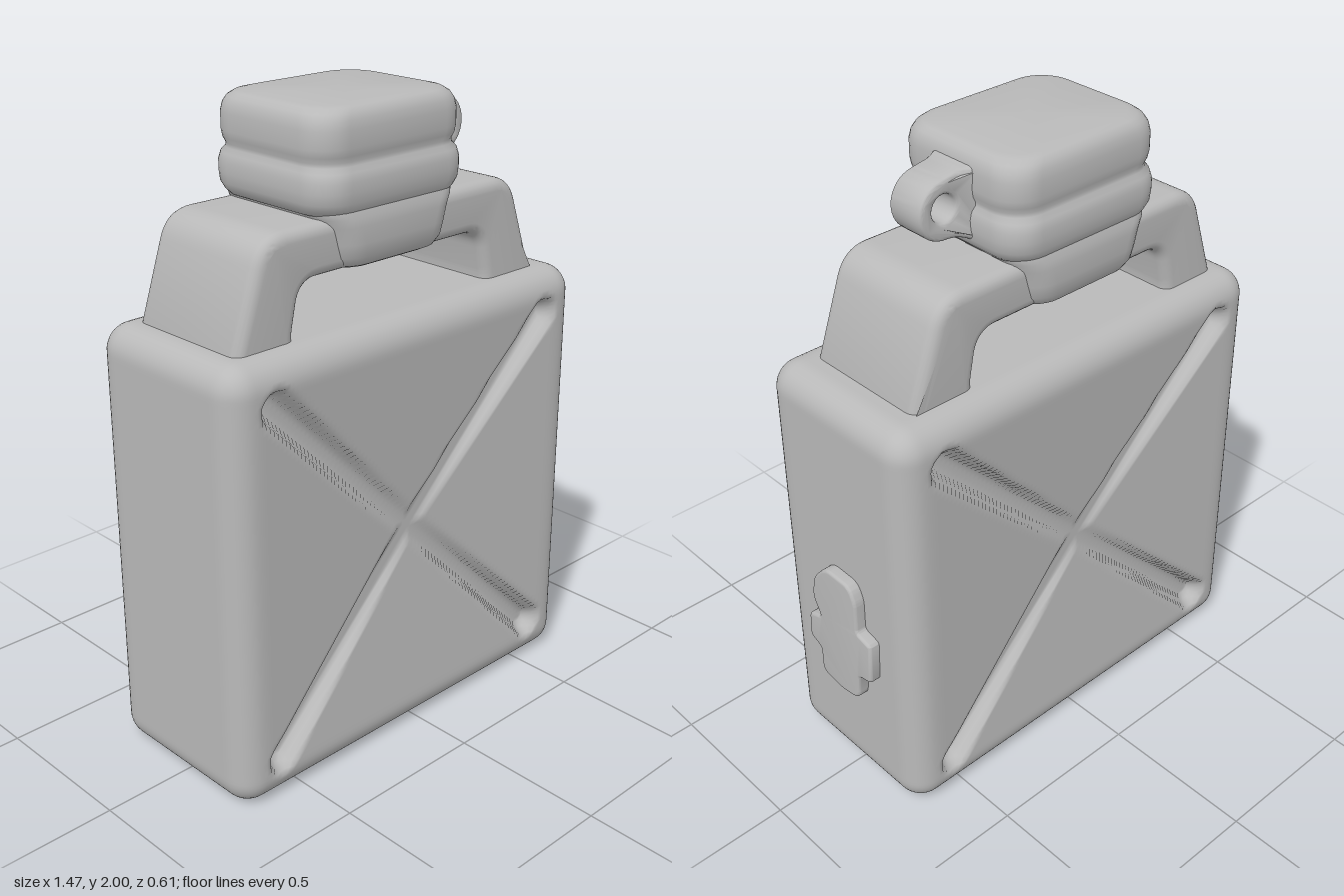
import * as THREE from 'three';
import { mergeVertices, toCreasedNormals } from 'three/addons/utils/BufferGeometryUtils.js';

const grey = new THREE.MeshStandardMaterial({ color: 0xb9b9b9 });
grey.name = 'grey';

const clamp = THREE.MathUtils.clamp;
const smooth = THREE.MathUtils.smoothstep;

function part(name, geometry) {
  const mesh = new THREE.Mesh(geometry, grey);
  mesh.name = name;
  return mesh;
}

// Depth of the stamped panel: four slopes falling to the middle, plus a flat-floored X groove
function panelDepth(x, y) {
  const ax = Math.abs(x), ay = Math.abs(y), d = Math.SQRT1_2;
  const slope = 0.048 * clamp(1 - Math.max(ax / 0.61, ay / 0.6), 0, 1);
  const along = Math.min((ax + ay) * d, 0.785);
  const away = Math.hypot(ax - along * d, ay - along * d);
  const groove = 0.054 * (1 - smooth(away, 0.024, 0.06));
  return Math.max(slope, groove);
}

// Rounded box with the X panel pressed into front and back
function bodyGeometry() {
  const half = new THREE.Vector3(0.715, 0.692, 0.305), r = 0.085;
  let g = new THREE.BoxGeometry(half.x * 2, half.y * 2, half.z * 2, 96, 96, 36);
  g.deleteAttribute('uv');
  g.deleteAttribute('normal');
  g = mergeVertices(g);
  const inner = half.clone().subScalar(r), pos = g.attributes.position;
  const p = new THREE.Vector3(), c = new THREE.Vector3();
  for (let i = 0; i < pos.count; i++) {
    p.fromBufferAttribute(pos, i);
    const face = Math.abs(p.z) > half.z - 1e-4;
    c.copy(p).clamp(inner.clone().negate(), inner);
    p.sub(c).setLength(r).add(c);
    if (face) p.z -= Math.sign(p.z) * panelDepth(p.x, p.y);
    pos.setXYZ(i, p.x, p.y, p.z);
  }
  g.computeVertexNormals();
  return g;
}

// Closed polygon with rounded corners from [x, y, radius] points
function roundedPath(points, path) {
  const n = points.length;
  points.forEach(([x, y, r], i) => {
    const here = new THREE.Vector2(x, y);
    const toward = (q) => new THREE.Vector2(q[0], q[1]).sub(here).setLength(r).add(here);
    const a = toward(points[(i + n - 1) % n]), b = toward(points[(i + 1) % n]);
    if (i === 0) path.moveTo(a.x, a.y); else path.lineTo(a.x, a.y);
    path.quadraticCurveTo(x, y, b.x, b.y);
  });
  path.closePath();
  return path;
}

// Bevelled extrusion centred on z = 0 that keeps the drawn outline
function slab(shape, depth, bevel) {
  const g = new THREE.ExtrudeGeometry(shape, {
    depth: depth - bevel * 2, bevelThickness: bevel, bevelSize: bevel,
    bevelOffset: -bevel, bevelSegments: 5, curveSegments: 10,
  });
  return g.translate(0, 0, bevel - depth / 2);
}

// Closed loft of rounded-rectangle sections [y, halfX, halfZ], listed bottom to top
function loft(sections, radius) {
  const verts = [], index = [], steps = 8, n = 4 * (steps + 1);
  sections.forEach(([y, hx, hz]) => {
    for (let k = 0; k < 4; k++) {
      const sx = k === 0 || k === 3 ? 1 : -1, sz = k < 2 ? 1 : -1;
      for (let j = 0; j <= steps; j++) {
        const a = (k + j / steps) * Math.PI / 2;
        verts.push(sx * (hx - radius) + radius * Math.cos(a), y, sz * (hz - radius) + radius * Math.sin(a));
      }
    }
  });
  const last = sections.length - 1;
  for (let s = 0; s < last; s++) {
    for (let j = 0; j < n; j++) {
      const a = s * n + j, b = s * n + (j + 1) % n;
      index.push(a, a + n, b, b, a + n, b + n);
    }
  }
  const bottom = verts.length / 3, top = bottom + 1;
  verts.push(0, sections[0][0], 0, 0, sections[last][0], 0);
  for (let j = 0; j < n; j++) {
    const k = (j + 1) % n;
    index.push(bottom, j, k, top, last * n + k, last * n + j);
  }
  const g = new THREE.BufferGeometry();
  g.setAttribute('position', new THREE.Float32BufferAttribute(verts, 3));
  g.setIndex(index);
  return toCreasedNormals(g, 0.9);
}

export function createModel() {
  const model = new THREE.Group();
  model.name = 'fuelCan';

  const body = part('body', bodyGeometry());
  body.position.set(-0.021, 0.692, 0);
  model.add(body);

  // Handle: a broad arch standing on the body
  const arch = roundedPath([
    [-0.672, 1.3, 0.01], [-0.54, 1.695, 0.085], [0.462, 1.695, 0.085], [0.602, 1.3, 0.01],
    [0.352, 1.3, 0.01], [0.352, 1.4, 0.02], [0.325, 1.543, 0.06],
    [-0.4, 1.543, 0.06], [-0.43, 1.4, 0.02], [-0.43, 1.3, 0.01],
  ], new THREE.Shape());
  model.add(part('handle', toCreasedNormals(slab(arch, 0.434, 0.034), 0.6)));

  // Neck under the cap, narrowing into the handle
  const neck = part('neck', loft([
    [1.543, 0.195, 0.215], [1.553, 0.208, 0.235], [1.58, 0.22, 0.25], [1.62, 0.228, 0.255],
    [1.67, 0.242, 0.255], [1.695, 0.256, 0.252], [1.712, 0.266, 0.245], [1.73, 0.268, 0.24],
  ], 0.09));

  // Cap with a lower band and a taller top
  const cap = part('cap', loft([
    [1.705, 0.268, 0.24], [1.718, 0.28, 0.246], [1.74, 0.29, 0.254], [1.77, 0.293, 0.256],
    [1.8, 0.293, 0.256], [1.825, 0.288, 0.25], [1.84, 0.279, 0.239], [1.852, 0.279, 0.237],
    [1.868, 0.286, 0.242], [1.89, 0.289, 0.245], [1.94, 0.289, 0.245], [1.965, 0.285, 0.24],
    [1.983, 0.275, 0.232], [1.995, 0.26, 0.218], [2, 0.24, 0.2],
  ], 0.1));
  for (const m of [neck, cap]) {
    m.position.x = -0.06;
    model.add(m);
  }

  // Cap eyelet: a rounded tab with a hole, flaring where it meets the cap
  const tab = new THREE.Shape();
  tab.moveTo(0.16, 1.715);
  tab.lineTo(0.2, 1.72);
  tab.quadraticCurveTo(0.24, 1.755, 0.31, 1.76);
  tab.absarc(0.31, 1.85, 0.09, -Math.PI / 2, Math.PI / 2 - 0.2);
  tab.quadraticCurveTo(0.27, 1.95, 0.22, 1.955);
  tab.lineTo(0.16, 1.955);
  tab.closePath();
  tab.holes.push(new THREE.Path().absarc(0.313, 1.855, 0.041, 0, Math.PI * 1.9, true));
  const ring = Array.from({ length: 20 }, (_, i) => -i * Math.PI / 10);
  tab.holes[0] = new THREE.Path(ring.map((a) => (
    new THREE.Vector2(0.313 + 0.041 * Math.cos(a), 1.855 + 0.041 * Math.sin(a)))));
  const tabGeometry = slab(tab, 0.13, 0.014);
  const pos = tabGeometry.attributes.position;
  for (let i = 0; i < pos.count; i++) {
    pos.setZ(i, pos.getZ(i) * (1 + 0.4 * (1 - smooth(pos.getX(i), 0.2, 0.27))));
  }
  model.add(part('capEyelet', toCreasedNormals(tabGeometry, 0.6)));

  // Raised irregular patch on the left side, drawn in (-z, y)
  const patch = roundedPath([
    [-0.04, 0.797, 0.03], [0.075, 0.795, 0.03], [0.1, 0.74, 0.02], [0.098, 0.63, 0.015],
    [0.16, 0.615, 0.015], [0.152, 0.465, 0.015], [0.095, 0.455, 0.015], [0.085, 0.355, 0.03],
    [0, 0.34, 0.02], [-0.095, 0.355, 0.03], [-0.095, 0.45, 0.015], [-0.145, 0.47, 0.015],
    [-0.14, 0.565, 0.015], [-0.08, 0.585, 0.015], [-0.115, 0.65, 0.025], [-0.1, 0.73, 0.025],
  ], new THREE.Shape());
  const sidePatch = part('sidePatch', toCreasedNormals(slab(patch, 0.06, 0.01), 0.6));
  sidePatch.rotation.y = Math.PI / 2;
  sidePatch.position.x = 0.7;
  model.add(sidePatch);

  return model;
}
